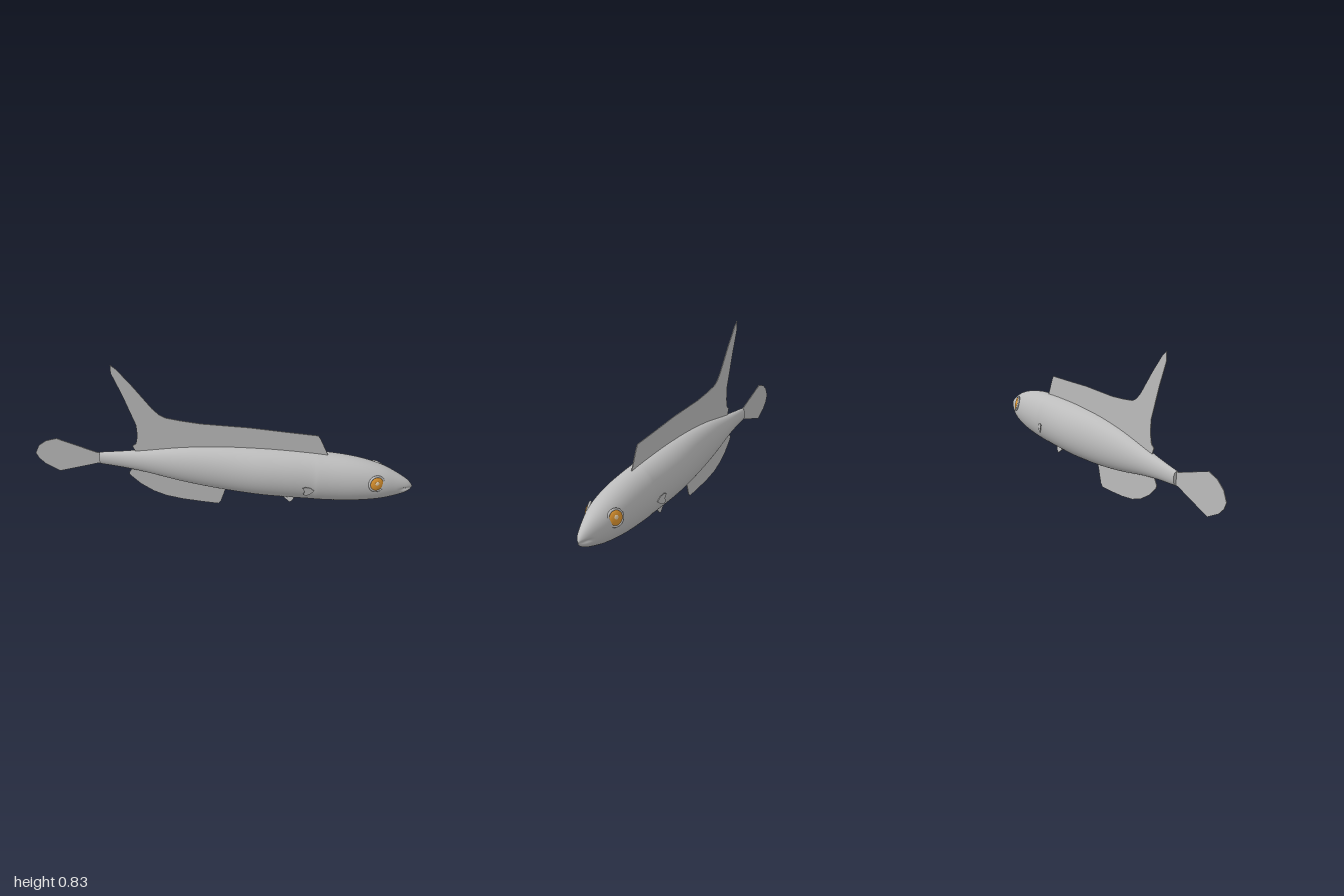
import * as THREE from 'three';
import { mergeVertices } from 'three/addons/utils/BufferGeometryUtils.js';

const skin = new THREE.MeshStandardMaterial({ color: 0xbcbcbc });
skin.name = 'silver grey';
const iris = new THREE.MeshStandardMaterial({ color: 0xdd942f });
iris.name = 'amber';
const glint = new THREE.MeshStandardMaterial({ color: 0xe6cfaa });
glint.name = 'pale cream';

// Body stations: x, top, bottom, half width
const stations = [
  [-0.645, 0.285, 0.213, 0.019], [-0.52, 0.302, 0.203, 0.031], [-0.4, 0.322, 0.187, 0.045],
  [-0.2, 0.36, 0.15, 0.071], [0, 0.383, 0.125, 0.091], [0.2, 0.392, 0.113, 0.108],
  [0.35, 0.392, 0.111, 0.109], [0.48, 0.388, 0.111, 0.104], [0.53, 0.385, 0.112, 0.106],
  [0.65, 0.376, 0.118, 0.101], [0.75, 0.36, 0.129, 0.091], [0.84, 0.334, 0.145, 0.074],
  [0.91, 0.301, 0.165, 0.05], [0.96, 0.271, 0.185, 0.03], [0.985, 0.249, 0.202, 0.016],
  [1, 0.227, 0.223, 0.002],
];

function bodyGeometry() {
  const heights = new THREE.CatmullRomCurve3(
    stations.map(([x, t, b]) => new THREE.Vector3(x, t, b)), false, 'catmullrom');
  const widths = new THREE.CatmullRomCurve3(
    stations.map(([x, , , w]) => new THREE.Vector3(x, w, 0)), false, 'catmullrom');
  const geo = new THREE.CylinderGeometry(1, 1, 1, 64, 90, true);
  const pos = geo.attributes.position;
  for (let i = 0; i < pos.count; i++) {
    const t = THREE.MathUtils.clamp(pos.getY(i) + 0.5, 0, 1);
    const p = heights.getPoint(t);
    const y = (p.y + p.z) / 2 - pos.getX(i) * (p.y - p.z) / 2;
    let z = pos.getZ(i) * widths.getPoint(t).y;
    // mouth crease near the snout
    const mouth = THREE.MathUtils.smoothstep(p.x, 0.925, 0.965);
    z *= 1 - 0.35 * mouth * Math.exp(-(((y - 0.222) / 0.008) ** 2));
    pos.setXYZ(i, p.x, y, z);
  }
  geo.deleteAttribute('uv');
  geo.deleteAttribute('normal');
  const merged = mergeVertices(geo, 1e-6);
  merged.computeVertexNormals();
  return merged;
}

function add(parent, name, geo, mat) {
  const mesh = new THREE.Mesh(geo, mat);
  mesh.name = name;
  parent.add(mesh);
  return mesh;
}

// Thin flat fin in the x-y plane, centred on z = 0
function fin(points, depth = 0.004) {
  const shape = new THREE.Shape(points.map(([x, y]) => new THREE.Vector2(x, y)));
  return new THREE.ExtrudeGeometry(shape, { depth, bevelEnabled: false }).translate(0, 0, -depth / 2);
}

export function createModel() {
  const fish = new THREE.Group();
  fish.name = 'fish';

  add(fish, 'body', bodyGeometry(), skin);
  const stump = add(fish, 'tailStump', new THREE.CircleGeometry(1, 32), skin);
  stump.scale.set(0.019, 0.036, 1);
  stump.rotation.y = -Math.PI / 2;
  stump.position.set(-0.645, 0.249, 0);

  add(fish, 'dorsalFin', fin([
    [-0.44, 0.29], [-0.465, 0.345], [-0.445, 0.36], [-0.435, 0.41], [-0.438, 0.48], [-0.5, 0.66],
    [-0.55, 0.785], [-0.55, 0.832], [-0.52, 0.808], [-0.44, 0.71], [-0.35, 0.59], [-0.315, 0.555],
    [-0.28, 0.538], [-0.2, 0.527], [-0.1, 0.518], [0.15, 0.516], [0.35, 0.505], [0.5, 0.498],
    [0.515, 0.475], [0.56, 0.375], [0.2, 0.35], [-0.1, 0.33],
  ]), skin);

  add(fish, 'analFin', fin([
    [-0.46, 0.22], [-0.493, 0.165], [-0.488, 0.15], [-0.43, 0.095], [-0.36, 0.052], [-0.29, 0.027],
    [-0.2, 0.013], [-0.1, 0.006], [-0.01, 0.002], [0.005, 0.02], [0.04, 0.14], [-0.2, 0.2],
  ]), skin);

  add(fish, 'tailFin', fin([
    [-0.62, 0.28], [-0.66, 0.284], [-0.875, 0.355], [-0.935, 0.335], [-0.978, 0.3], [-1, 0.25],
    [-0.985, 0.215], [-0.95, 0.18], [-0.875, 0.14], [-0.66, 0.213], [-0.62, 0.22],
  ]), skin);

  // Paired parts on both flanks
  for (const s of [1, -1]) {
    const side = s > 0 ? 'Right' : 'Left';

    // small pectoral fin, flaring away from the body towards the tail
    const pectoral = add(fish, 'pectoralFin' + side, fin([
      [-0.062, 0.022], [-0.045, 0.028], [-0.02, 0.02], [0, 0], [-0.02, -0.018], [-0.042, -0.026],
      [-0.057, -0.018], [-0.05, 0],
    ]), skin);
    pectoral.position.set(0.5, 0.223, s * 0.104);
    pectoral.rotation.y = s * 0.24;

    // small pelvic fin under the belly
    const pelvic = add(fish, 'pelvicFin' + side, fin([
      [-0.04, 0.035], [-0.03, 0.012], [0, -0.012], [0.012, -0.005], [0.035, 0.035],
    ]), skin);
    pelvic.position.set(0.375, 0.103, s * 0.044);
    pelvic.rotation.x = s * -0.2;

    // eye facing outward, slightly forward and up
    const eye = new THREE.Group();
    eye.name = 'eye' + side;
    eye.position.set(0.812, 0.278, s * 0.073);
    eye.lookAt(0.812 + 0.38, 0.278 + 0.24, s * (0.073 + 0.88));
    fish.add(eye);
    add(eye, 'eyeRim', new THREE.TorusGeometry(0.039, 0.006, 10, 36), skin);
    add(eye, 'eyeball', new THREE.SphereGeometry(0.037, 32, 20), iris).scale.z = 0.32;
    const spot = add(eye, 'pupilSpot', new THREE.SphereGeometry(0.011, 16, 12), glint);
    spot.scale.z = 0.25;
    spot.position.set(0, 0.004, 0.0105);
  }
  return fish;
}
